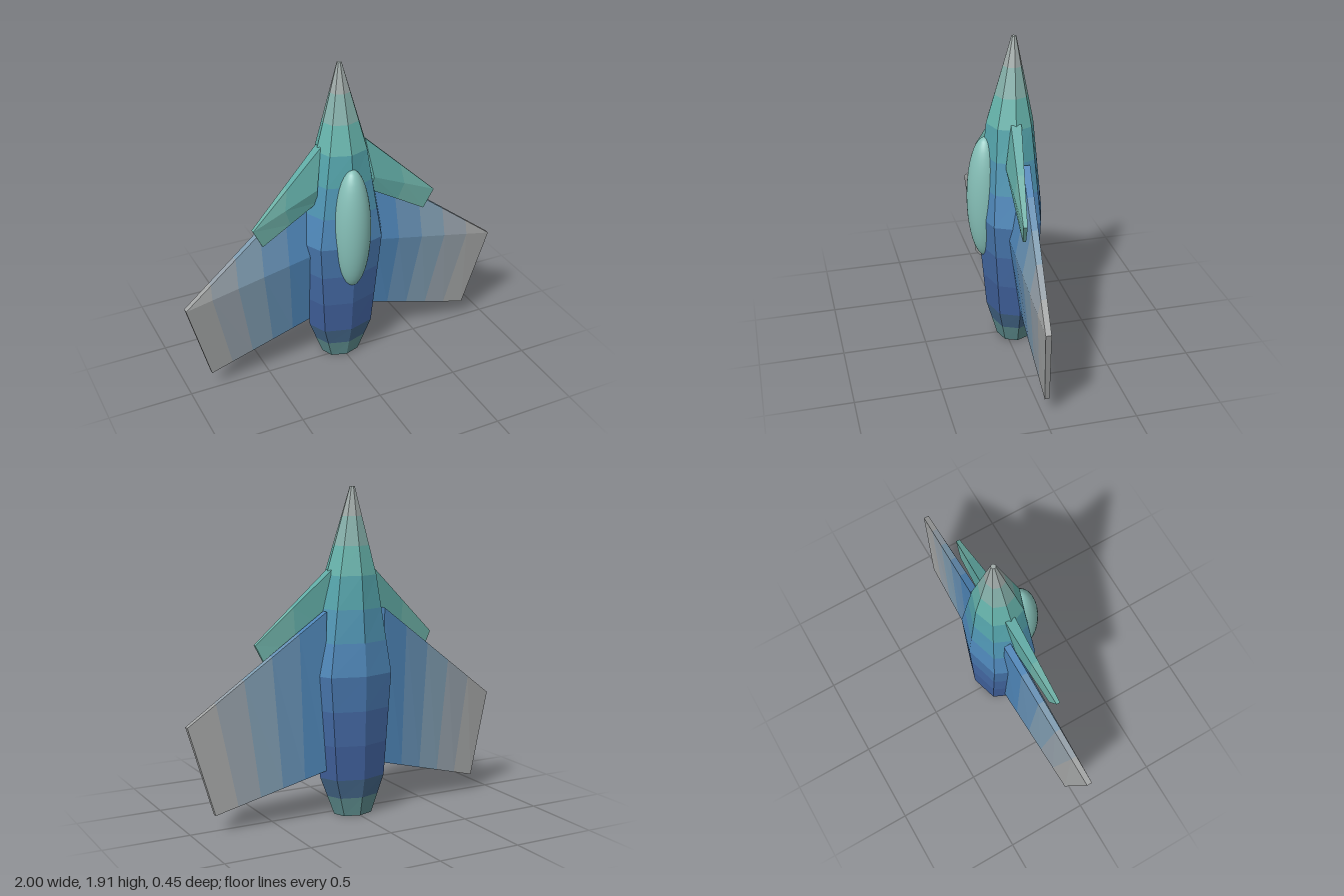
import * as THREE from 'three';

const lerpRing = (a, b, t) => a.map((p, i) => p.map((v, k) => v + (b[i][k] - v) * t));

// Faceted skin between two rings of points, with optional end caps
function loft(name, a, b, color, capA, capB) {
  const pos = [], n = a.length;
  const tri = (...pts) => pts.forEach(p => pos.push(...p));
  for (let i = 0; i < n; i++) {
    const j = (i + 1) % n;
    tri(a[i], a[j], b[j]);
    tri(a[i], b[j], b[i]);
  }
  for (let i = 1; i < n - 1; i++) {
    if (capA) tri(a[0], a[i + 1], a[i]);
    if (capB) tri(b[0], b[i], b[i + 1]);
  }
  const geo = new THREE.BufferGeometry();
  geo.setAttribute('position', new THREE.Float32BufferAttribute(pos, 3));
  geo.computeVertexNormals();
  const mesh = new THREE.Mesh(geo, new THREE.MeshStandardMaterial({ color, flatShading: true }));
  mesh.name = name;
  return mesh;
}

// Eight-sided hull ring: height, half width, half depth, centre z
function hullRing([y, rx, rz, cz]) {
  const ring = [];
  for (let i = 0; i < 8; i++) {
    const t = i * Math.PI / 4, wide = i % 2 ? 1.06 : 1;
    ring.push([Math.sin(t) * rx * wide, y, cz + Math.cos(t) * rz]);
  }
  return ring;
}

// Tapered surface from root section to tip section, shaded in strips along the span
function surface(name, side, root, tip, colors) {
  const group = new THREE.Group();
  group.name = name;
  const place = ring => {
    const r = ring.map(([x, y, z]) => [x * side, y, z]);
    return side > 0 ? r : r.reverse();
  };
  const n = colors.length;
  colors.forEach((color, i) => group.add(loft(name + 'Panel' + (i + 1),
    place(lerpRing(root, tip, i / n)), place(lerpRing(root, tip, (i + 1) / n)),
    color, i === 0, i === n - 1)));
  return group;
}

export function createModel() {
  const model = new THREE.Group();
  model.name = 'spacecraft';

  // Hull, from engine end to nose
  const hull = new THREE.Group();
  hull.name = 'hull';
  const rings = [
    [0, 0.12, 0.1, -0.05],
    [0.23, 0.207, 0.158, -0.042],
    [0.84, 0.262, 0.196, -0.026],
    [1.41, 0.155, 0.138, -0.027],
    [1.91, 0.014, 0.014, -0.05],
  ].map(hullRing);
  const hullColors = [
    [0x5f8f90, 0x45688a],
    [0x3f5f99, 0x4368a2, 0x4776ac],
    [0x4f88ba, 0x5096b4, 0x55a5ac],
    [0x66b3ab, 0x85b0aa, 0xa0aaa8],
  ];
  const names = ['tail', 'rearHull', 'frontHull', 'nose'];
  hullColors.forEach((cols, s) => cols.forEach((color, i) => hull.add(loft(
    names[s] + (i + 1),
    lerpRing(rings[s], rings[s + 1], i / cols.length),
    lerpRing(rings[s], rings[s + 1], (i + 1) / cols.length),
    color, s === 0 && i === 0, s === 3 && i === cols.length - 1))));
  model.add(hull);

  // Canopy
  const canopy = new THREE.Mesh(
    new THREE.SphereGeometry(1, 32, 20),
    new THREE.MeshStandardMaterial({ color: 0x86c0b8 }));
  canopy.name = 'canopy';
  canopy.scale.set(0.11, 0.383, 0.11);
  canopy.position.set(0, 0.942, 0.117);
  model.add(canopy);

  // Sections run: front leading, front ridge, front trailing, back trailing, back leading
  const wingRoot = [[0.19, 1.21, -0.055], [0.2, 0.77, 0.03], [0.19, 0.28, -0.04],
    [0.19, 0.28, -0.088], [0.19, 1.21, -0.098]];
  const wingTip = [[1, 0.61, 0.033], [1, 0.61, 0.033], [0.86, 0.1, -0.01],
    [0.86, 0.1, -0.038], [1, 0.61, 0]];
  const finRoot = [[0.14, 1.44, 0], [0.18, 1.2, 0.04], [0.17, 1.11, 0.02],
    [0.17, 1.11, -0.04], [0.14, 1.44, -0.06]];
  const finTip = [[0.58, 1.03, 0.043], [0.58, 1.03, 0.043], [0.52, 0.91, 0.03],
    [0.52, 0.91, 0.012], [0.58, 1.03, 0.02]];
  for (const side of [1, -1]) {
    const s = side > 0 ? 'left' : 'right';
    model.add(surface(s + 'Wing', side, wingRoot, wingTip,
      [0x4f86b8, 0x6690b4, 0x7f9cb0, 0x949fa8, 0xa2a4a4]));
    model.add(surface(s + 'ForwardFin', side, finRoot, finTip, [0x62aca6, 0x6fb2a8]));
  }
  return model;
}
